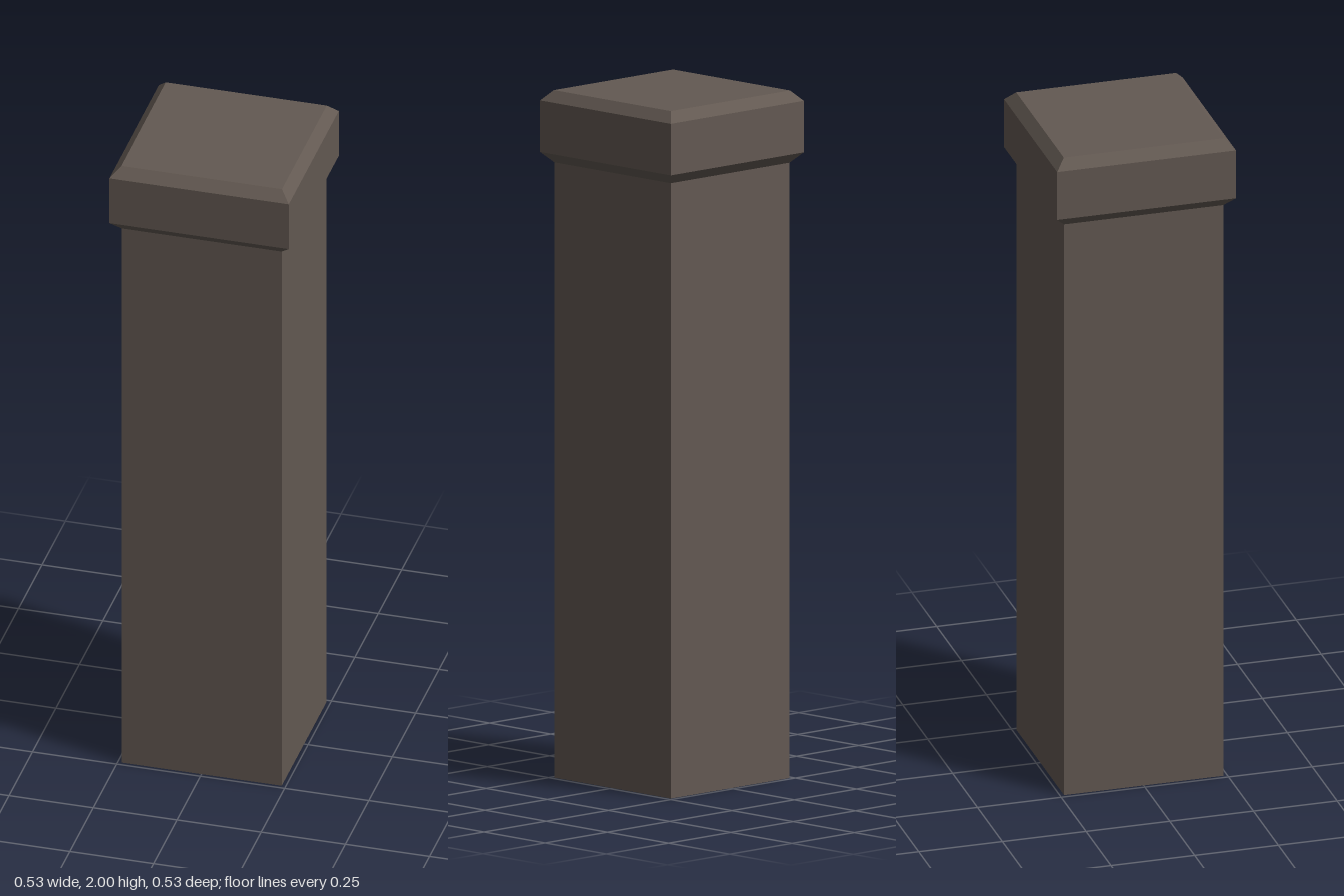
import * as THREE from 'three';

// Square-plan solid from a profile of [half width, height] points, bottom to top
function squareLoft(profile) {
  const points = profile.map(([half, y]) => new THREE.Vector2(half * Math.SQRT2, y));
  const geometry = new THREE.LatheGeometry(points, 4, Math.PI / 4).toNonIndexed();
  geometry.computeVertexNormals(); // flat faces
  return geometry;
}

export function createModel() {
  const model = new THREE.Group();
  model.name = 'squarePillar';

  const stone = new THREE.MeshStandardMaterial({ color: 0x635952, side: THREE.DoubleSide });
  stone.name = 'brownStone';

  const addPart = (name, profile) => {
    const mesh = new THREE.Mesh(squareLoft(profile), stone);
    mesh.name = name;
    model.add(mesh);
  };

  // Hollow shaft, open at the foot
  addPart('shaft', [[0.238, 0], [0.238, 1.79]]);

  // Wider cap, bevelled below and above, closed on top
  addPart('cap', [[0.238, 1.79], [0.267, 1.82], [0.267, 1.97], [0.239, 2], [0, 2]]);

  return model;
}
